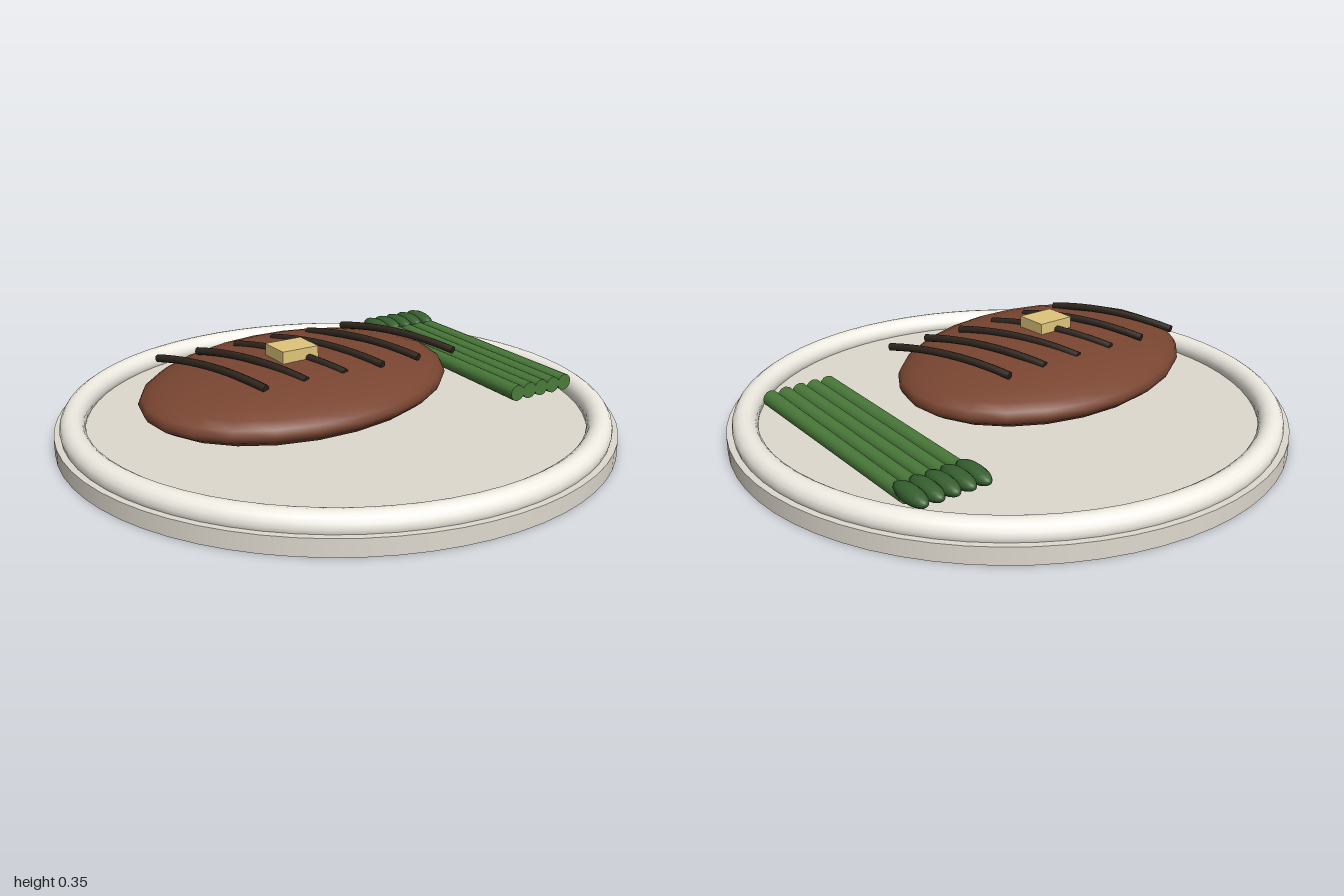
import * as THREE from 'three';

export function createModel() {
  const group = new THREE.Group();
  const mat = (color) => new THREE.MeshStandardMaterial({ color });
  const add = (name, geometry, material, x = 0, y = 0, z = 0, parent = group) => {
    const mesh = new THREE.Mesh(geometry, material);
    mesh.name = name;
    mesh.position.set(x, y, z);
    parent.add(mesh);
    return mesh;
  };

  // Plate: flat disc with a rounded rim
  add('plateBase', new THREE.CylinderGeometry(1, 1, 0.06, 64), mat(0xe0dacf), 0, 0.03, 0);
  const rim = new THREE.TorusGeometry(0.935, 0.045, 16, 64).rotateX(Math.PI / 2);
  add('plateRim', rim, mat(0xf0ede4), 0, 0.075, 0);

  // Steak: flattened ellipsoid turned on the plate
  const steak = add('steak', new THREE.SphereGeometry(1, 24, 16), mat(0x7a4632), -0.16, 0.208, 0);
  steak.scale.set(0.61, 0.108, 0.455);
  steak.rotation.y = 0.267;

  // Grill marks: slanted bars bowed over the steak
  const charMat = mat(0x2e241c);
  const marks = new THREE.Group();
  marks.name = 'grillMarks';
  group.add(marks);
  const bow = new THREE.QuadraticBezierCurve3(
    new THREE.Vector3(-0.08, 0, -0.24),
    new THREE.Vector3(0, 0.045, 0),
    new THREE.Vector3(0.08, 0, 0.24),
  );
  const markGeo = new THREE.TubeGeometry(bow, 12, 0.014, 8);
  const capGeo = new THREE.CircleGeometry(0.014, 8);
  for (let i = 0; i < 6; i++) {
    const x = -0.5 + i * 0.152;
    const mark = add('grillMark', markGeo, charMat, x, 0.298, 0, marks);
    for (const t of [0, 1]) {
      const cap = add('grillMarkEnd', capGeo, charMat, 0, 0, 0, mark);
      cap.position.copy(bow.getPoint(t));
      const out = bow.getTangent(t).multiplyScalar(t ? 1 : -1);
      cap.quaternion.setFromUnitVectors(new THREE.Vector3(0, 0, 1), out);
    }
  }

  // Butter pat
  add('butter', new THREE.BoxGeometry(0.14, 0.05, 0.12), mat(0xe0c67c), -0.2, 0.33, 0.03);

  // Asparagus: five tapered stalks with pointed-oval tips
  const stalkMat = mat(0x4a7a3a);
  const tipMat = mat(0x376030);
  const stalkGeo = new THREE.CylinderGeometry(0.025, 0.03, 0.9, 12).rotateX(-Math.PI / 2);
  const tipGeo = new THREE.SphereGeometry(1, 12, 10).rotateX(-Math.PI / 2);
  for (let i = 0; i < 5; i++) {
    const spear = new THREE.Group();
    spear.name = 'asparagusSpear';
    spear.position.set(0.528 + i * 0.056, 0.15, -0.05);
    spear.rotation.y = -0.03;
    group.add(spear);
    add('stalk', stalkGeo, stalkMat, 0, 0, 0, spear);
    add('tip', tipGeo, tipMat, 0, 0.017, -0.475, spear).scale.set(0.033, 0.029, 0.085);
  }

  return group;
}
